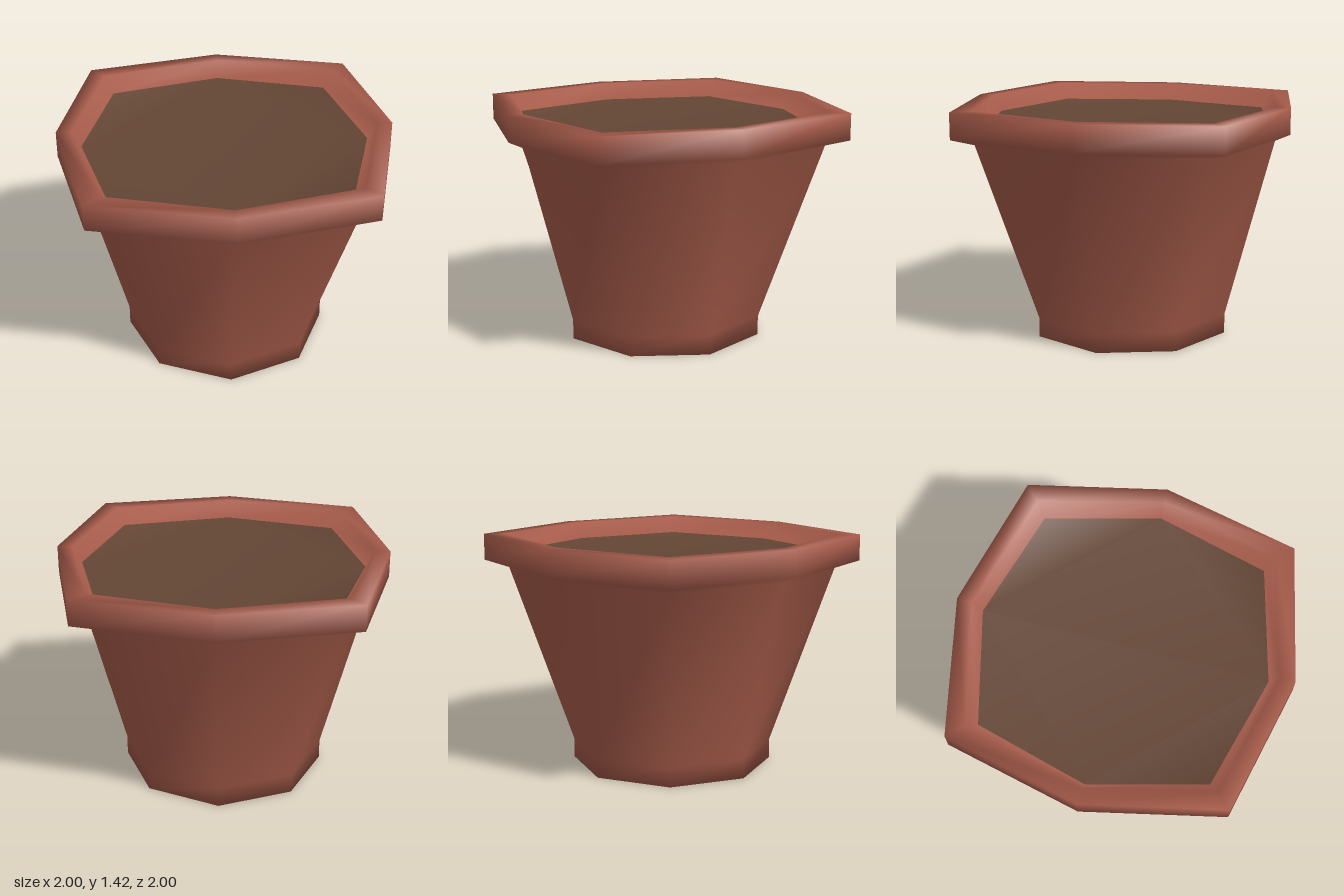
import * as THREE from 'three';

// Eight-sided cross-sections, bottom to rim to soil: [side radius, corner offset, height]
const RINGS = [
  [0.62, 0.437, 0],
  [0.62, 0.437, 0.12],
  [0.91, 0.71, 1.22],
  [1.0, 0.815, 1.26],
  [1.0, 0.815, 1.42],
  [0.91, 0.727, 1.42],
  [0.855, 0.675, 1.32],
];
const SIDES = 8;

export function createModel() {
  const clay = new THREE.MeshStandardMaterial({ color: 0xa65b4a });
  clay.name = 'terracotta';
  const soil = new THREE.MeshStandardMaterial({ color: 0x634534 });
  soil.name = 'soil';

  const positions = [];
  for (const [side, corner, y] of RINGS) {
    for (let k = 0; k < SIDES; k++) {
      const a = (k * Math.PI) / 4;
      const r = k % 2 ? corner * Math.SQRT2 : side;
      positions.push(Math.sin(a) * r, y, Math.cos(a) * r);
    }
  }

  // Octagon face: four corner triangles around a square
  const octagon = [[0, 1, 2], [2, 3, 4], [4, 5, 6], [6, 7, 0], [0, 2, 4], [0, 4, 6]];
  const index = [];

  // Underside
  for (const [a, b, c] of octagon) index.push(a, c, b);

  // Foot, wall, rim and inner lip
  for (let i = 0; i < RINGS.length - 1; i++) {
    for (let k = 0; k < SIDES; k++) {
      const a = i * SIDES + k;
      const b = i * SIDES + ((k + 1) % SIDES);
      index.push(a, b, b + SIDES, a, b + SIDES, a + SIDES);
    }
  }
  const clayCount = index.length;

  // Soil surface, sharing the lip's smooth normals
  const top = (RINGS.length - 1) * SIDES;
  for (const tri of octagon) index.push(...tri.map((v) => v + top));

  const geometry = new THREE.BufferGeometry();
  geometry.setAttribute('position', new THREE.Float32BufferAttribute(positions, 3));
  geometry.setIndex(index);
  geometry.addGroup(0, clayCount, 0);
  geometry.addGroup(clayCount, index.length - clayCount, 1);
  geometry.computeVertexNormals();

  const pot = new THREE.Mesh(geometry, [clay, soil]);
  pot.name = 'potWithSoil';
  const group = new THREE.Group();
  group.name = 'flowerPot';
  group.add(pot);
  return group;
}
